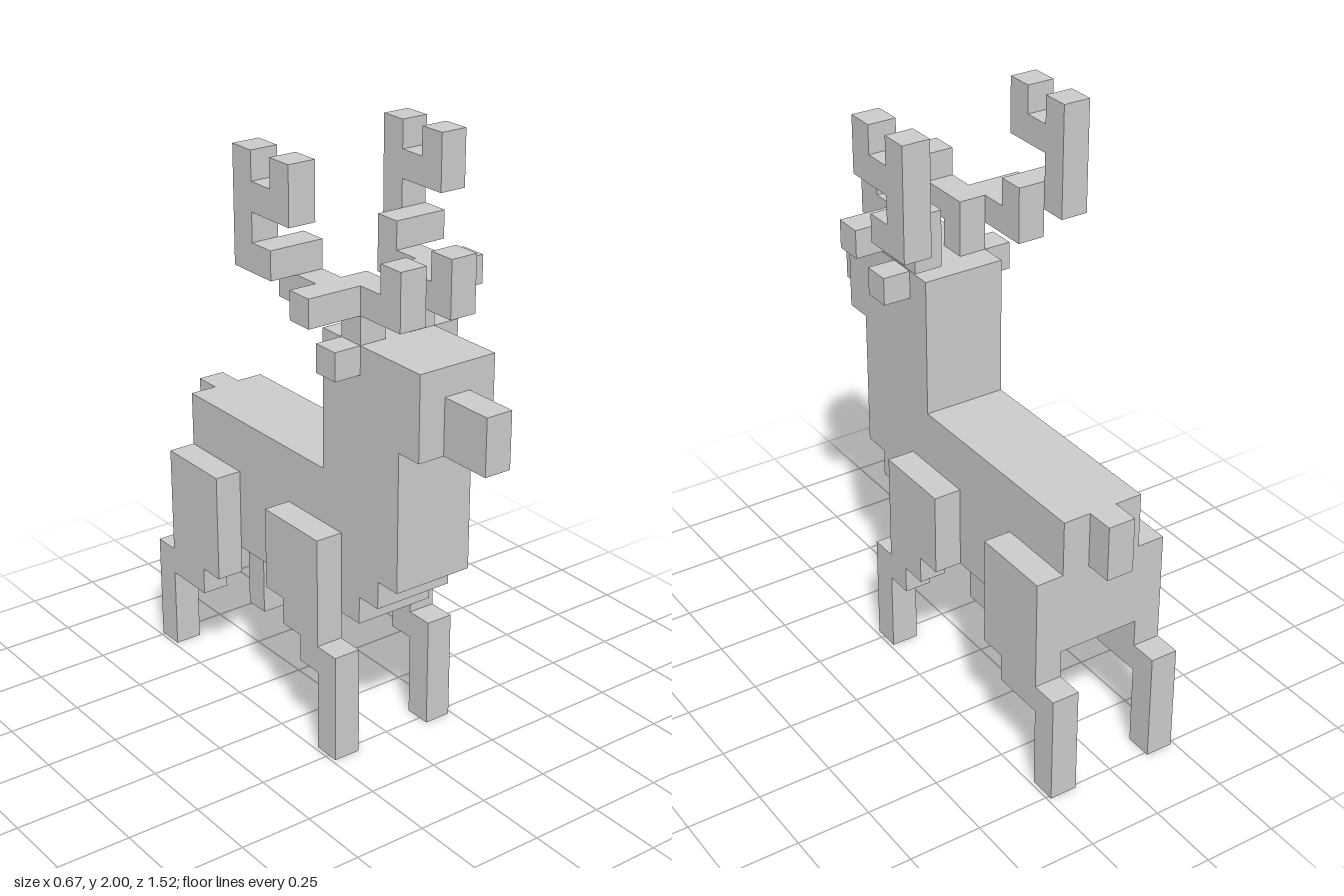
import * as THREE from 'three';

const U = 2 / 21; // one block

const material = new THREE.MeshStandardMaterial({ color: 0xcccccc, flatShading: true });

// Slab with a stepped side profile of [z, y] corners, spanning `width` blocks around x
function slab(name, x, width, profile) {
  const shape = new THREE.Shape(profile.map(([z, y]) => new THREE.Vector2(z * U, y * U)));
  const geometry = new THREE.ExtrudeGeometry(shape, { depth: width * U, bevelEnabled: false });
  geometry.translate(0, 0, -width * U / 2);
  geometry.rotateY(-Math.PI / 2);
  const mesh = new THREE.Mesh(geometry, material);
  mesh.name = name;
  mesh.position.x = x * U;
  return mesh;
}

const rect = (z0, z1, y0, y1) => [[z0, y0], [z1, y0], [z1, y1], [z0, y1]];

// Trunk, stepped chest, neck and head in one outline
const BODY = [
  [-7, 5], [3, 5], [3, 6], [4, 6], [4, 7], [5, 7], [5, 12], [6, 12],
  [6, 15], [1, 15], [1, 10], [-7, 10],
];
const FRONT_LEG = [
  [-1, 8], [-1, 5], [0, 5], [0, 4], [1, 4], [1, 3], [2, 3], [2, 0],
  [3, 0], [3, 4], [2, 4], [2, 8],
];
const HIND_LEG = [
  [-7, 8], [-7, 4], [-8, 4], [-8, 0], [-7, 0], [-7, 3], [-5, 3], [-5, 4],
  [-4, 4], [-4, 8],
];

// Antler layers from the head outwards
const ANTLER_STEM = [[2, 15], [3, 15], [3, 16], [5, 16], [5, 18], [4, 18], [4, 17], [2, 17]];
const ANTLER_BRIDGE = [[0, 16], [3, 16], [3, 17], [1, 17], [1, 18], [0, 18]];
const ANTLER_BEAM = [
  [-1, 17], [1, 17], [1, 18], [0, 18], [0, 19], [2, 19], [2, 21], [1, 21],
  [1, 20], [0, 20], [0, 21], [-1, 21],
];

export function createModel() {
  const model = new THREE.Group();
  model.name = 'deer';

  model.add(
    slab('body', 0, 3, BODY),
    slab('snout', 0, 1, rect(6, 8, 12, 14)),
    slab('tail', 0, 1, rect(-8, -7, 8, 10)),
  );

  // Paired parts
  for (const [side, s] of [['left', 1], ['right', -1]]) {
    model.add(
      slab(side + 'FrontLeg', 2 * s, 1, FRONT_LEG),
      slab(side + 'HindLeg', 2 * s, 1, HIND_LEG),
      slab(side + 'Ear', 2 * s, 1, rect(2, 3, 14, 15)),
    );
    const antler = new THREE.Group();
    antler.name = side + 'Antler';
    antler.add(
      slab('antlerStem', s, 1, ANTLER_STEM),
      slab('antlerBridge', 2 * s, 1, ANTLER_BRIDGE),
      slab('antlerSideTine', 3 * s, 1, rect(2, 3, 16, 17)),
      slab('antlerBeam', 3 * s, 1, ANTLER_BEAM),
    );
    model.add(antler);
  }
  return model;
}
